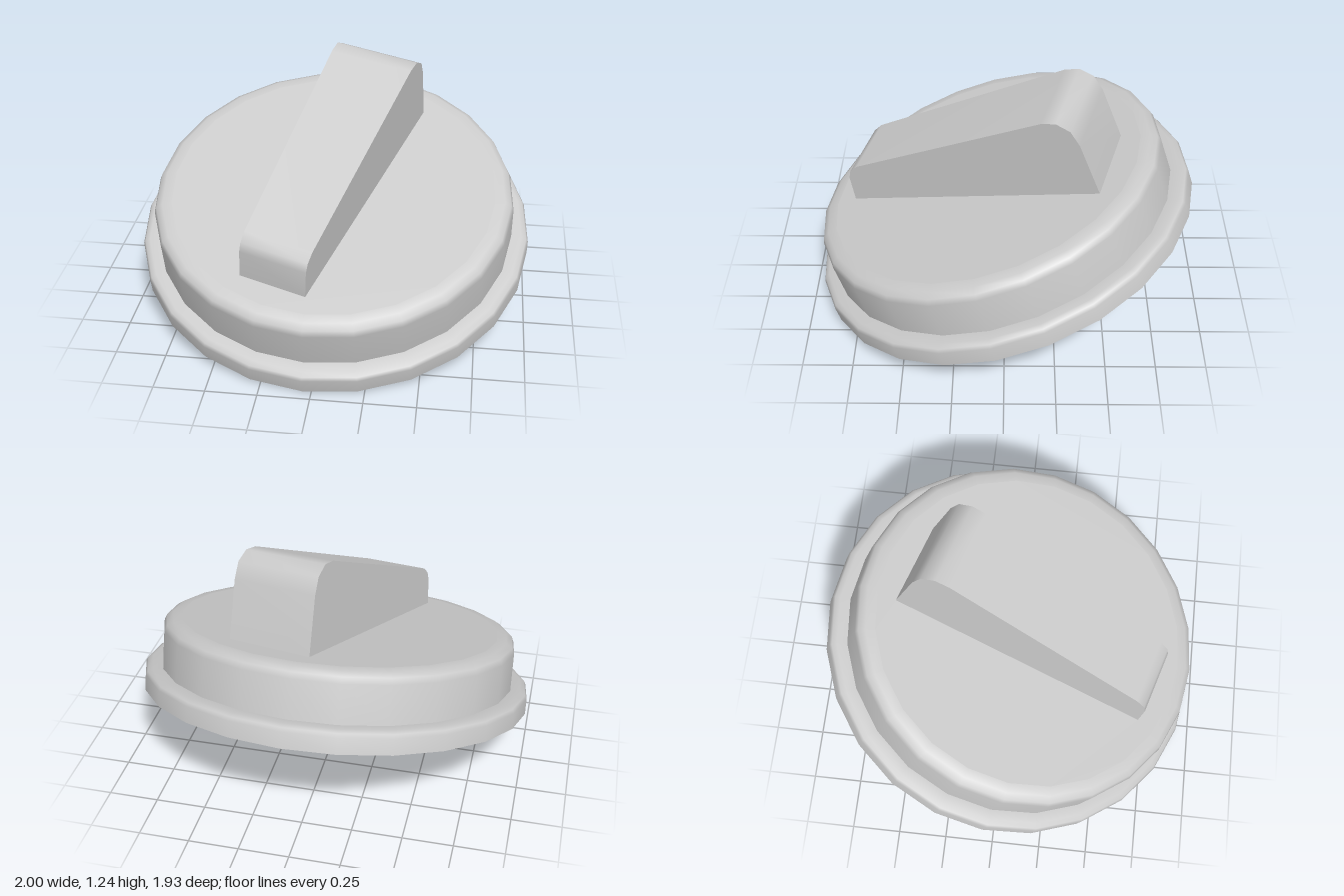
import * as THREE from 'three';

const SIDES = 24;
const TOP = 0.36;

export function createModel() {
  const material = new THREE.MeshStandardMaterial({ color: 0xcccccc, side: THREE.DoubleSide });
  const model = new THREE.Group();
  model.name = 'tiltedKnob';

  // Tilt the knob forward, then turn it about its own axis
  const knob = new THREE.Group();
  knob.name = 'knob';
  knob.rotation.set(0.311, -0.305, 0, 'XYZ');
  knob.position.set(0, 0.306, -0.006);
  model.add(knob);

  const add = (name, geometry, parent = knob) => {
    const mesh = new THREE.Mesh(geometry, material);
    mesh.name = name;
    parent.add(mesh);
    return mesh;
  };
  const lathe = (points) =>
    new THREE.LatheGeometry(points.map(([r, h]) => new THREE.Vector2(r, h)), SIDES);

  // Hollow thin-walled body: rim flange and cap wall with a rounded shoulder
  add('rimFlange', lathe([[1, 0], [1, 0.08], [0.99, 0.098], [0.965, 0.11], [0.913, 0.11]]));
  add('capWall', lathe([[0.913, 0.11], [0.912, 0.305], [0.9, 0.335], [0.868, 0.355], [0.82, TOP]]));

  // Grip outline seen from the side as [forward, height]; it widens to the back
  const outline = [
    [0.7, TOP], [0.675, 0.505], [0.652, 0.545], [0.6, 0.574],
    [-0.51, 0.79], [-0.585, 0.785], [-0.645, 0.735], [-0.668, 0.65], [-0.685, TOP],
  ];
  const halfWidth = (z) => 0.198 - 0.0375 * z;

  // Flat cap top, open under the hollow grip
  const disc = new THREE.Shape();
  for (let i = 0; i < SIDES; i++) {
    const a = (i / SIDES) * Math.PI * 2;
    const x = 0.82 * Math.cos(a), y = 0.82 * Math.sin(a);
    if (i) disc.lineTo(x, y); else disc.moveTo(x, y);
  }
  const front = outline[0][0], back = outline.at(-1)[0];
  disc.holes.push(new THREE.Path([
    [-halfWidth(front), -front], [-halfWidth(back), -back],
    [halfWidth(back), -back], [halfWidth(front), -front],
  ].map(([x, y]) => new THREE.Vector2(x, y))));
  add('capTop', new THREE.ShapeGeometry(disc).rotateX(-Math.PI / 2).translate(0, TOP, 0));

  const grip = new THREE.Group();
  grip.name = 'grip';
  knob.add(grip);

  // Band over the front, slope and back of the grip
  const positions = [], index = [];
  outline.forEach(([z, h], i) => {
    positions.push(-halfWidth(z), h, z, halfWidth(z), h, z);
    if (i) {
      const a = 2 * i - 2;
      index.push(a, a + 1, a + 2, a + 1, a + 3, a + 2);
    }
  });
  const band = new THREE.BufferGeometry();
  band.setAttribute('position', new THREE.Float32BufferAttribute(positions, 3));
  band.setIndex(index);
  band.computeVertexNormals();
  add('gripBand', band, grip);

  // Flat side walls of the grip
  for (const side of [-1, 1]) {
    const wall = new THREE.ShapeGeometry(
      new THREE.Shape(outline.map(([z, h]) => new THREE.Vector2(-side * z, h))));
    const p = wall.attributes.position;
    for (let i = 0; i < p.count; i++) {
      const z = -side * p.getX(i);
      p.setXYZ(i, side * halfWidth(z), p.getY(i), z);
    }
    wall.computeVertexNormals();
    add(side > 0 ? 'gripLeftWall' : 'gripRightWall', wall, grip);
  }

  return model;
}
